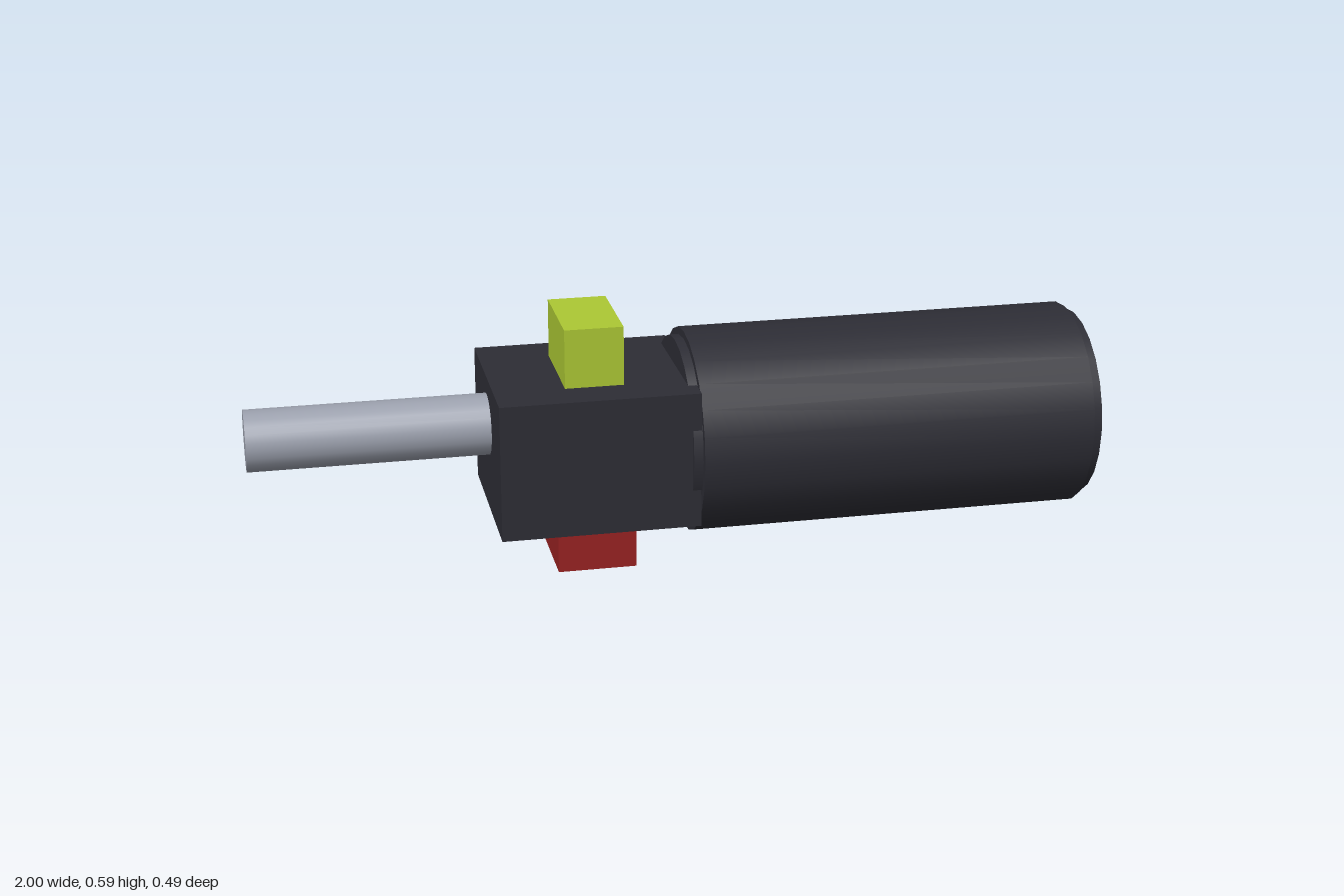
import * as THREE from 'three';

const material = (name, color) => {
  const m = new THREE.MeshStandardMaterial({ color });
  m.name = name;
  return m;
};

export function createModel() {
  const group = new THREE.Group();
  const dark = material('dark casing', 0x2d2d35);
  const metal = material('grey metal', 0x9ca1ae);
  const lime = material('lime', 0xacc834);
  const red = material('red', 0x992222);

  const add = (name, geometry, mat, x, y) => {
    const mesh = new THREE.Mesh(geometry, mat);
    mesh.name = name;
    mesh.position.set(x, y, 0);
    group.add(mesh);
  };
  // Box and x-axis cylinder given by their extents
  const box = (name, x0, x1, y0, y1, depth, mat) =>
    add(name, new THREE.BoxGeometry(x1 - x0, y1 - y0, depth), mat, (x0 + x1) / 2, (y0 + y1) / 2);
  const rod = (name, x0, x1, y, radius, mat) =>
    add(name, new THREE.CylinderGeometry(radius, radius, x1 - x0, 24).rotateZ(-Math.PI / 2), mat, (x0 + x1) / 2, y);

  // Large barrel with a stepped rim at each end
  rod('barrel', 0.032, 0.975, 0.284, 0.244, dark);
  rod('innerRim', 0.01, 0.032, 0.284, 0.226, dark);
  rod('outerRim', 0.975, 1, 0.284, 0.226, dark);

  // Square housing and output shaft
  box('housing', -0.437, 0.03, 0.12, 0.448, 0.424, dark);
  rod('shaft', -1, -0.43, 0.332, 0.073, metal);

  // Coloured blocks above and below the housing
  box('topBlock', -0.271, -0.133, 0.448, 0.589, 0.235, lime);
  box('bottomBlock', -0.296, -0.11, 0, 0.095, 0.281, red);

  return group;
}
